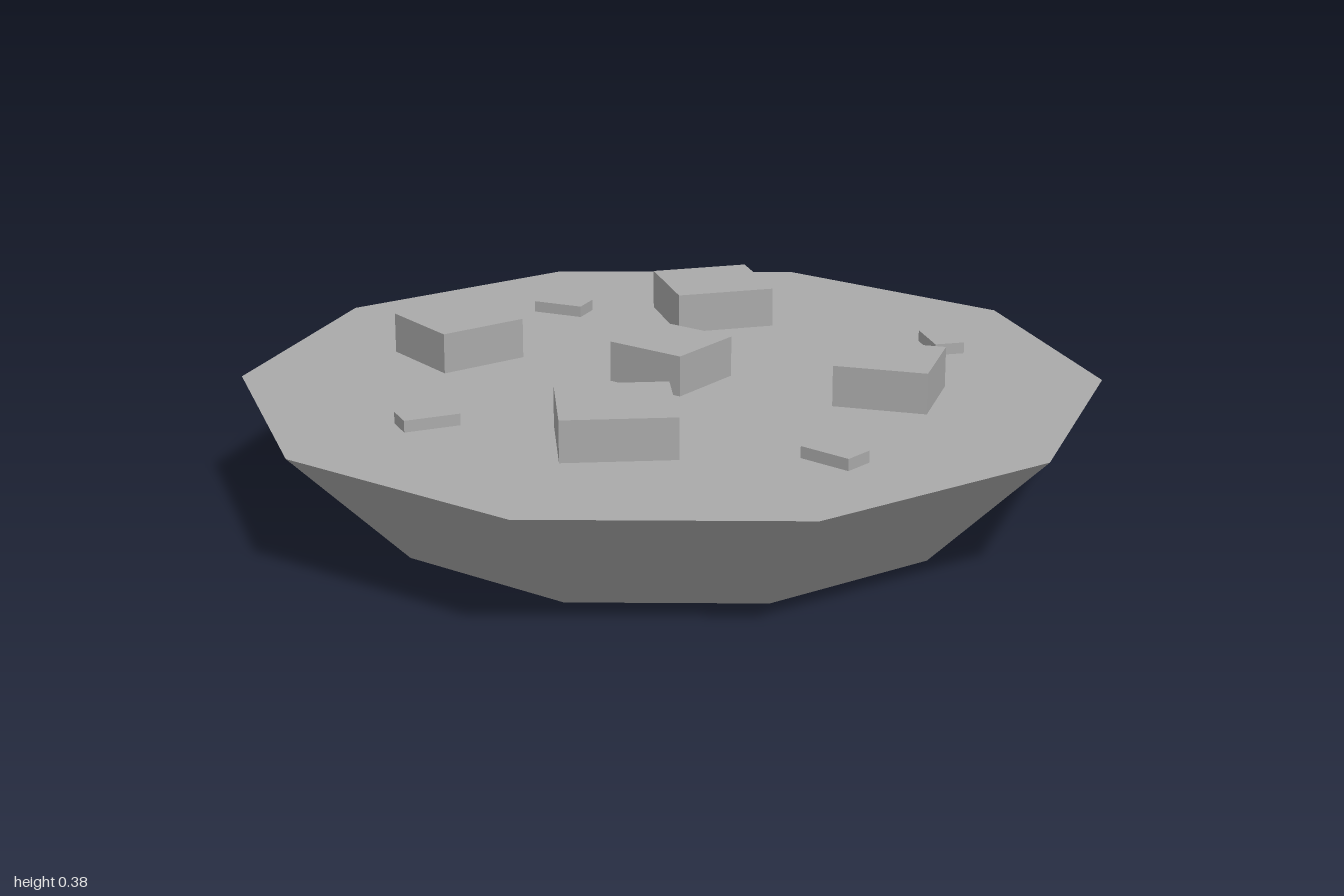
import * as THREE from 'three';

const stone = new THREE.MeshStandardMaterial({ color: 0xaaaaaa, flatShading: true });
stone.name = 'grey stone';

const TOP = 0.29; // height of the flat upper face

export function createModel() {
  const model = new THREE.Group();
  model.name = 'rockPlatform';

  // Ten-sided base, narrowing towards the ground
  const base = new THREE.Mesh(new THREE.CylinderGeometry(1, 0.706, TOP, 10), stone);
  base.name = 'base';
  base.position.y = TOP / 2;
  model.add(base);

  // Block standing on the upper face
  const addBlock = (name, x, z, width, height, depth, turn) => {
    const block = new THREE.Mesh(new THREE.BoxGeometry(width, height, depth), stone);
    block.name = name;
    block.position.set(x, TOP + height / 2, z);
    block.rotation.y = turn;
    model.add(block);
  };

  // Large square blocks: x, z, side, turn
  [
    [0, 0, 0.2, 0],
    [-0.15, -0.52, 0.22, -0.29],
    [0.48, -0.23, 0.24, -0.66],
    [-0.445, 0.183, 0.255, -0.845],
    [0.187, 0.48, 0.216, 0.36],
  ].forEach(([x, z, s, turn], i) => addBlock(`largeBlock${i + 1}`, x, z, s, 0.095, s, turn));

  // Small flat stones: x, z, width, depth, turn
  [
    [-0.595, -0.225, 0.13, 0.07, -0.52],
    [0.296, -0.56, 0.07, 0.127, 0.235],
    [0.593, 0.37, 0.072, 0.124, -0.69],
    [-0.26, 0.628, 0.072, 0.128, -0.075],
  ].forEach(([x, z, w, d, turn], i) => addBlock(`smallStone${i + 1}`, x, z, w, 0.027, d, turn));

  return model;
}
